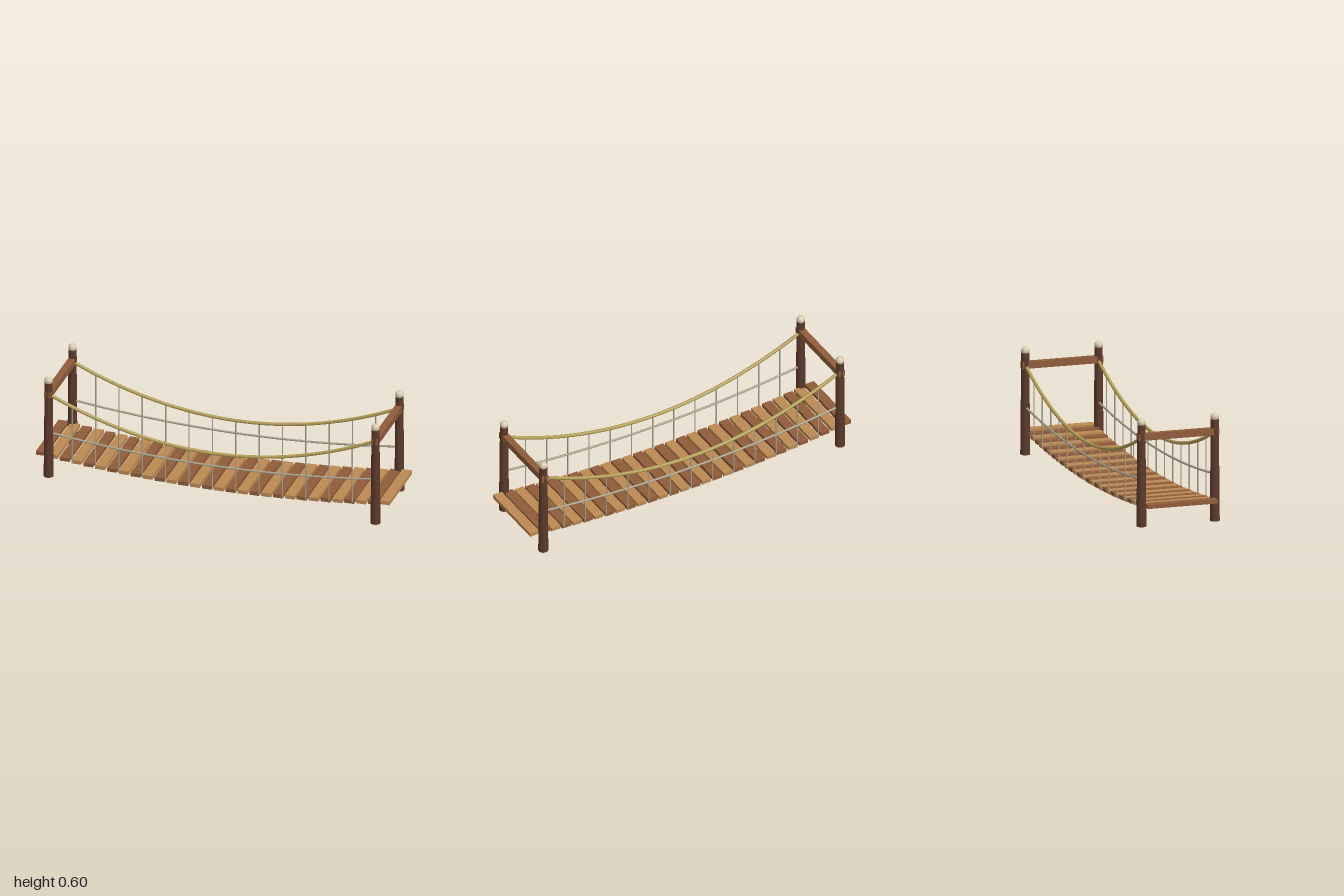
import * as THREE from 'three';

const material = (name, color) => {
  const m = new THREE.MeshStandardMaterial({ color });
  m.name = name;
  return m;
};

export function createModel() {
  const bridge = new THREE.Group();
  bridge.name = 'ropeBridge';

  const postWood = material('darkPostWood', 0x5c3a2b);
  const brownWood = material('brownWood', 0x8f5c3a);
  const tanWood = material('tanWood', 0xbc8a52);
  const bone = material('paleKnob', 0xd9cdb0);
  const railRope = material('goldenRope', 0xb5a055);
  const thinRope = material('greyRope', 0xaaa48e);

  const add = (name, geometry, mat, x = 0, y = 0, z = 0) => {
    const mesh = new THREE.Mesh(geometry, mat);
    mesh.name = name;
    mesh.position.set(x, y, z);
    bridge.add(mesh);
    return mesh;
  };

  const postX = 0.925, sideZ = 0.21;
  // Parabolic sag, from low at the middle to high at x = span
  const sag = (low, high, span) => (x) => low + (high - low) * (x / span) ** 2;
  const railY = sag(0.275, 0.49, postX);
  const midY = sag(0.2, 0.26, postX);
  const deckY = sag(0.061, 0.121, 0.973);

  // Deck planks in alternating wood
  const plank = new THREE.BoxGeometry(0.055, 0.021, 0.4);
  const count = 30, pitch = 0.0671;
  for (let i = 0; i < count; i++) {
    const x = (i - (count - 1) / 2) * pitch;
    add('plank', plank, i % 2 ? tanWood : brownWood, x, deckY(x), 0);
  }

  // Tapered posts with round knobs, joined by a crossbeam at each end
  const post = new THREE.CylinderGeometry(0.022, 0.0275, 0.56, 12);
  const knob = new THREE.SphereGeometry(0.0235, 10, 8);
  const beam = new THREE.BoxGeometry(0.038, 0.037, 0.462);
  for (const sx of [-1, 1]) {
    for (const sz of [-1, 1]) {
      add('post', post, postWood, sx * postX, 0.28, sz * sideZ);
      add('knob', knob, bone, sx * postX, 0.572, sz * sideZ);
    }
    add('crossbeam', beam, brownWood, sx * postX, 0.494, 0);
  }

  // Sagging ropes
  const rope = (name, heightAt, radius, mat, z) => {
    const points = [];
    for (let i = 0; i <= 14; i++) {
      const x = -postX + (i / 14) * 2 * postX;
      points.push(new THREE.Vector3(x, heightAt(x), z));
    }
    const curve = new THREE.CatmullRomCurve3(points);
    add(name, new THREE.TubeGeometry(curve, 42, radius, 8), mat);
  };
  for (const sz of [-1, 1]) {
    const z = sz * (sideZ - 0.003);
    rope('handrailRope', railY, 0.0095, railRope, z);
    rope('middleRope', midY, 0.006, thinRope, z);

    // Hangers from handrail to deck
    for (let i = 1; i < 14; i++) {
      const x = -postX + (i / 14) * 2 * postX;
      const low = deckY(x), high = railY(x);
      add('hanger', new THREE.CylinderGeometry(0.0035, 0.0035, high - low, 6),
        thinRope, x, (low + high) / 2, z);
    }
  }
  return bridge;
}
